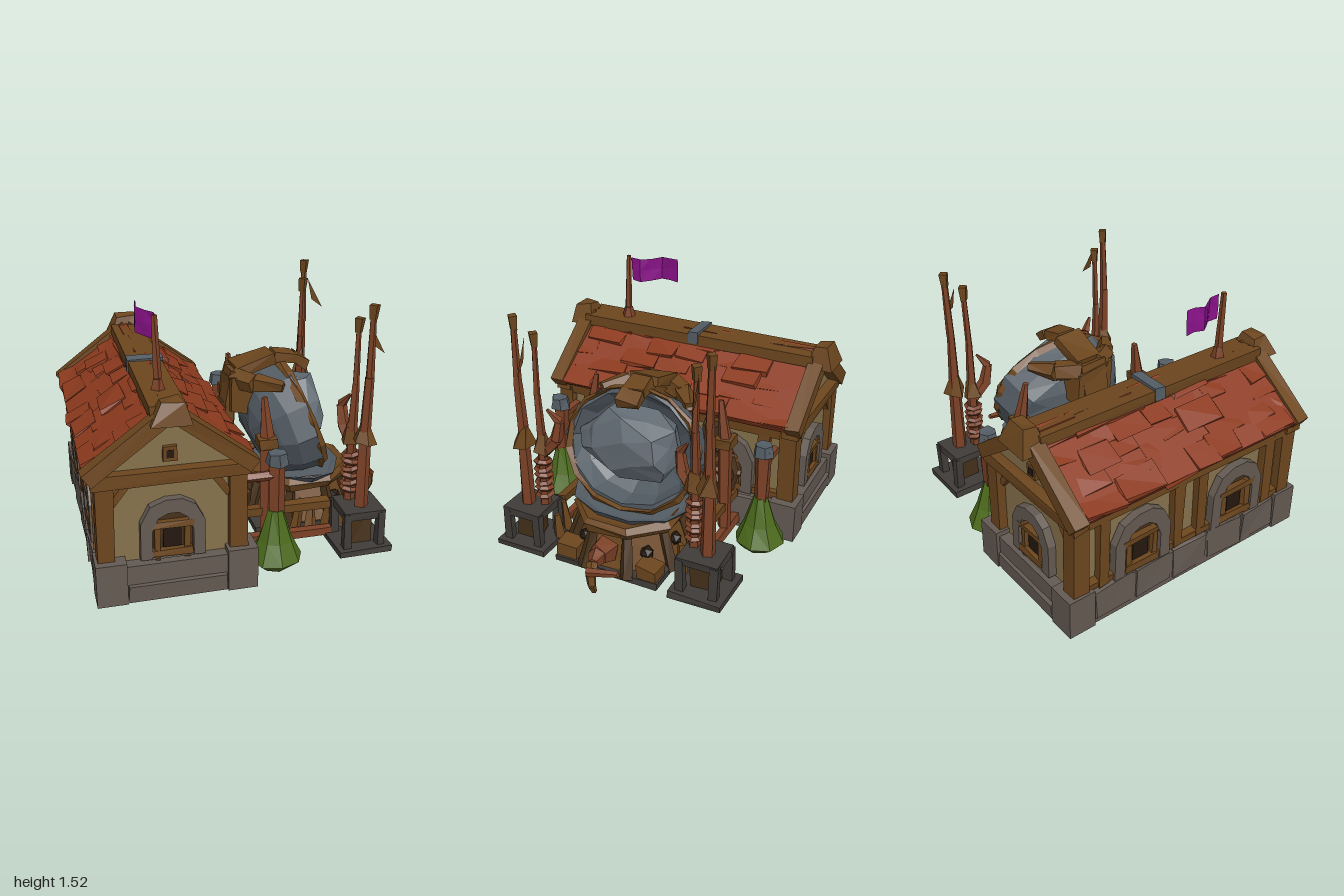
import * as THREE from 'three';

const C = { stone: 0x645a52, wall: 0x86724c, wood: 0x6c461e, dark: 0x46311a, red: 0x7c4126, tile: 0x8c3a1e,
  metal: 0x545d65, rock: 0x646d75, iron: 0x403c39, green: 0x4c6a1c, cloth: 0x8a128a, black: 0x24180f };
const mats = {};
const mat = (c) => (mats[c] ??= new THREE.MeshStandardMaterial({ color: c, flatShading: true, side: THREE.DoubleSide }));
let seed = 7;
const rnd = () => { seed = (seed * 16807) % 2147483647; return seed / 2147483647 - 0.5; };
const V = (x, y, z) => new THREE.Vector3(x, y, z);
const poly = (pts) => new THREE.Shape(pts.map((p) => new THREE.Vector2(...p)));
const lathe = (pts, n) => new THREE.LatheGeometry(pts.map((p) => new THREE.Vector2(...p)), n);

function place(parent, name, object, x, y, z) {
  object.name = name;
  object.position.set(x, y, z);
  parent.add(object);
  return object;
}
const group = (parent, name, x = 0, y = 0, z = 0) => place(parent, name, new THREE.Group(), x, y, z);
const add = (parent, name, geo, color, x = 0, y = 0, z = 0) => place(parent, name, new THREE.Mesh(geo, mat(color)), x, y, z);

// Shift vertices a little; vertices at the same place move together
function rough(geo, amount) {
  const p = geo.attributes.position, moved = {};
  for (let i = 0; i < p.count; i++) {
    const v = V().fromBufferAttribute(p, i);
    const d = (moved[v.toArray().map((n) => Math.round(n * 1e4))] ??= V(rnd(), rnd(), rnd()).multiplyScalar(amount));
    p.setXYZ(i, ...v.add(d));
  }
  geo.computeVertexNormals();
  return geo;
}
const box = (g, name, c, w, h, d, x, y, z, r = 0.012) => add(g, name, rough(new THREE.BoxGeometry(w, h, d), r), c, x, y, z);
// Tapered bar between two points
function bar(g, name, c, a, b, r0, r1 = r0, sides = 5) {
  const m = add(g, name, rough(new THREE.CylinderGeometry(r1, r0, a.distanceTo(b), sides), r0 * 0.2), c);
  m.position.copy(a).add(b).multiplyScalar(0.5);
  m.quaternion.setFromUnitVectors(V(0, 1, 0), b.clone().sub(a).normalize());
}
// Bars along a path, with one radius per point
const chain = (g, name, c, pts, radii) =>
  pts.slice(1).forEach((q, i) => bar(g, name, c, V(...pts[i]), V(...q), radii[i], radii[i + 1]));
// Flat board in the xy plane between two points
function board(g, name, c, x0, y0, x1, y1, thick, depth, z, r = 0.012) {
  const m = box(g, name, c, Math.hypot(x1 - x0, y1 - y0), thick, depth, (x0 + x1) / 2, (y0 + y1) / 2, z, r);
  m.rotation.z = Math.atan2(y1 - y0, x1 - x0);
}
const archShape = (w, h) => poly([[-w, 0], [-w * 0.97, h * 0.62], [-w * 0.68, h * 0.9], [-w * 0.2, h],
  [w * 0.3, h], [w * 0.72, h * 0.88], [w, h * 0.6], [w, 0]]);

// Arched window facing +z, sill at y = 0
function archWindow(parent, x, z, turn, size) {
  const g = group(parent, 'archWindow', x, 0.235, z);
  g.rotation.y = turn;
  g.scale.set(size, size, 1);
  const s = archShape(0.18, 0.35);
  s.holes.push(archShape(0.115, 0.27));
  add(g, 'windowArch', new THREE.ExtrudeGeometry(s, { depth: 0.05, bevelEnabled: false }), C.stone);
  add(g, 'windowPane', new THREE.ShapeGeometry(archShape(0.12, 0.28)), C.dark, 0, 0, 0.012);
  box(g, 'windowGlass', C.black, 0.1, 0.13, 0.012, 0, 0.12, 0.02, 0);
  for (const i of [-1, 1]) box(g, 'windowJamb', C.wood, 0.035, 0.23, 0.04, i * 0.085, 0.1, 0.02);
  box(g, 'windowLintel', C.wood, 0.24, 0.035, 0.05, 0, 0.2, 0.025);
  box(g, 'windowSill', C.wood, 0.22, 0.04, 0.05, 0, 0.03, 0.025);
}

function house(root) {
  const g = group(root, 'house', -0.53);
  box(g, 'stoneBase', C.stone, 0.87, 0.22, 1.7, 0.02, 0.11, 0, 0);
  const walls = poly([[-0.36, 0.2], [0.37, 0.2], [0.37, 0.76], [0, 1.07], [-0.36, 0.76]]);
  add(g, 'walls', new THREE.ExtrudeGeometry(walls, { depth: 1.56, bevelEnabled: false }), C.wall, 0, 0, -0.78);
  for (const t of [-1, 1]) {
    for (const s of [-1, 1]) {
      box(g, 'cornerStone', C.stone, 0.17, 0.25, 0.17, 0.02 + s * 0.365, 0.125, t * 0.785, 0);
      box(g, 'cornerPost', C.wood, 0.1, 0.48, 0.1, s * 0.365, 0.47, t * 0.78);
      board(g, 'gableTrim', C.wood, s * 0.45, 0.745, 0, 1.085, 0.085, 0.09, t * 0.815);
      board(g, 'wallBrace', C.wood, s * 0.32, 0.57, s * 0.24, 0.69, 0.04, 0.04, t * 0.785);
    }
    box(g, 'footStone', C.stone, 0.55, 0.1, 0.04, 0.02, 0.06, t * 0.85);
    for (let i = 0; i < 5; i++) box(g, 'sideStone', C.stone, 0.04, 0.2, 0.26, 0.02 + t * 0.425, 0.13, -0.56 + i * 0.28, 0.02);
    box(g, 'gableBeam', C.wood, 0.86, 0.075, 0.1, 0, 0.725, t * 0.79);
    box(g, 'gableVentFrame', C.wood, 0.075, 0.085, 0.04, 0, 0.84, t * 0.785, 0.005);
    box(g, 'gableVent', C.black, 0.04, 0.045, 0.02, 0, 0.84, t * 0.798, 0);
    archWindow(g, 0, t * 0.78, t > 0 ? 0 : Math.PI, 1);
    // Long sides: beams, posts and windows
    box(g, 'eaveBeam', C.wood, 0.07, 0.07, 1.54, t * 0.38, 0.7, 0);
    box(g, 'sillBeam', C.wood, 0.06, 0.05, 1.5, t * 0.375, 0.26, 0);
    for (const z of [-0.62, -0.09, 0.09, 0.62]) box(g, 'wallPost', C.wood, 0.07, 0.46, 0.07, t * 0.375, 0.47, z);
    for (const z of [-0.36, 0.36]) archWindow(g, t * 0.37, z, t * Math.PI / 2, 1.1);
    // Roof slope with uneven rows of overlapping tiles
    board(g, 'roofBoard', C.tile, t * 0.45, 0.755, 0, 1.06, 0.05, 1.56, 0, 0);
    for (let row = 0; row < 5; row++) {
      for (let z = -0.775, w; z < 0.74; z += w) {
        w = Math.min(0.15 + (rnd() + 0.5) * 0.12, 0.775 - z);
        const x = 0.455 - row * 0.09 + rnd() * 0.035, y = 0.775 + row * 0.061 + rnd() * 0.02;
        board(g, 'roofTile', C.tile, t * x, y, t * (x - 0.13), y + 0.068, 0.03, w, z + w / 2, 0.028);
      }
    }
    const cap = new THREE.CylinderGeometry(0.09, 0.155, 0.13, 4).rotateY(Math.PI / 4);
    add(g, 'ridgeCap', rough(cap, 0.025), C.wood, 0, 1.095, t * 0.835).scale.z = 0.75;
  }
  box(g, 'ridgeBeam', C.wood, 0.2, 0.07, 1.6, 0, 1.07, 0, 0.015);
  box(g, 'ridgeBand', C.metal, 0.22, 0.08, 0.07, 0, 1.08, 0, 0.01);
  // Flag on the ridge
  chain(g, 'flagPole', C.red, [[-0.01, 1.08, 0.53], [-0.01, 1.17, 0.53], [-0.02, 1.52, 0.53]], [0.05, 0.024, 0.016]);
  const flag = new THREE.PlaneGeometry(0.3, 0.15, 5, 2), p = flag.attributes.position;
  for (let i = 0; i < p.count; i++) {
    const u = p.getX(i) / 0.3 + 0.5;
    p.setXYZ(i, -0.01 - 0.09 * u + 0.025 * Math.sin(u * 8), 1.442 + p.getY(i) - 0.008 * Math.sin(u * 6), 0.5 - u * 0.3);
  }
  add(g, 'flag', rough(flag, 0.01), C.cloth);
}

function bowl(root) {
  // Eight sided wooden stand with a metal pan on top
  const s = group(root, 'bowlStand', 0.43);
  box(s, 'standFloor', C.iron, 0.7, 0.04, 0.68, 0, 0.045, 0);
  const drum = lathe([[0, 0.06], [0.35, 0.06], [0.27, 0.26], [0.33, 0.28], [0.36, 0.33], [0.33, 0.36], [0.27, 0.34], [0, 0.32]], 8);
  add(s, 'standDrum', rough(drum.rotateY(Math.PI / 8), 0.015), C.wood);
  const pan = lathe([[0, 0.34], [0.9, 0.34], [1, 0.38], [0.85, 0.36], [0, 0.355]], 10);
  add(s, 'standPan', rough(pan, 0.01), C.metal).scale.set(0.26, 1, 0.38);
  for (let i = 0; i < 8; i++) {
    const a = (i + 0.5) * Math.PI / 4, c = Math.cos(a), d = Math.sin(a), e = i * Math.PI / 4;
    bar(s, 'standRib', C.dark, V(c * 0.37, 0.04, d * 0.37), V(c * 0.29, 0.29, d * 0.29), 0.045, 0.03, 4);
    add(s, 'standVent', new THREE.IcosahedronGeometry(0.045, 0), C.black, Math.cos(e) * 0.29, 0.16, Math.sin(e) * 0.29);
  }
  // Tilted metal bowl holding a boulder
  const b = group(root, 'bowl', 0.43, 0.7);
  b.rotation.z = -1.22;
  const shell = [];
  for (let i = 0; i <= 5; i++) shell.push([Math.sin(i * Math.PI / 10) ** 0.8, -0.35 * Math.max(0, Math.cos(i * Math.PI / 10)) ** 0.8]);
  shell.push([0.9, 0], [0.78, -0.1], [0.4, -0.22], [0, -0.25]);
  add(b, 'bowlShell', rough(lathe(shell, 12), 0.03), C.metal).scale.set(0.37, 1, 0.45);
  const rim = new THREE.TorusGeometry(1, 0.05, 4, 14).rotateX(Math.PI / 2);
  add(b, 'bowlRim', rough(rim, 0.03), C.wood, 0, -0.01, 0).scale.set(0.37, 0.6, 0.43);
  add(b, 'boulder', rough(new THREE.IcosahedronGeometry(1, 1), 0.36), C.rock, -0.05, -0.02, 0).scale.set(0.21, 0.18, 0.32);
  // Yoke from the house over the top of the bowl
  const y = group(root, 'yoke');
  const path = [[-0.04, 0.45], [-0.02, 0.8], [0.02, 1.0], [0.25, 1.07], [0.4, 1.05], [0.47, 1.0]];
  path.slice(1).forEach(([x, v], i) => board(y, 'yokeStrap', C.wood, ...path[i], x, v, 0.06, i < 3 ? 0.18 : 0.13, 0, 0.025));
  box(y, 'yokeBlock', C.wood, 0.14, 0.22, 0.26, 0.03, 0.86, 0, 0.04);
  for (const t of [-1, 1]) {
    chain(y, 'yokeArm', C.wood, [[0.02, 0.96, t * 0.06], [0.11, 0.96, t * 0.19], [0.25, 0.96, t * 0.29]], [0.07, 0.065, 0.03]);
    chain(y, 'sideStay', C.red, [[0.1, 0.1, t * 0.47], [0.1, 0.7, t * 0.46], [0.09, 0.96, t * 0.42]], [0.04, 0.045, 0.018]);
    box(y, 'stayCollar', C.wood, 0.11, 0.06, 0.1, 0.1, 0.7, t * 0.46);
    box(y, 'groundBeam', C.red, 0.62, 0.05, 0.05, 0.22, 0.08, t * 0.48);
    box(y, 'upperBeam', C.wood, 0.56, 0.05, 0.05, 0.22, 0.26, t * 0.46);
    box(y, 'standFoot', C.wood, 0.12, 0.11, 0.13, 0.71, 0.09, t * 0.27, 0.02);
    for (let i = 0; i < 4; i++) bar(y, 'looseTimber', C.wood, V(0.3 + i * 0.1, 0.06, t * 0.42), V(0.34 + i * 0.09, 0.22 + rnd() * 0.1, t * (0.4 + rnd() * 0.12)), 0.04, 0.02, 4);
    // Spoked wheel and its bearing beside the house
    box(y, 'wheelBearing', C.dark, 0.08, 0.5, 0.1, -0.07, 0.45, t * 0.3, 0.03);
    const w = group(root, 'driveWheel', 0, 0.42, t * 0.3);
    w.rotation.y = Math.PI / 2 - t * 0.15;
    add(w, 'wheelRing', rough(new THREE.TorusGeometry(0.18, 0.035, 4, 10), 0.015), C.dark);
    for (let i = 0; i < 4; i++) {
      const q = V(0.22, 0, 0).applyAxisAngle(V(0, 0, 1), i * Math.PI / 4);
      bar(w, 'wheelSpoke', C.wood, q.clone().negate(), q, 0.022, 0.022, 4);
    }
  }
  // Spout with a hooked handle
  const f = group(root, 'spout');
  chain(f, 'spoutPipe', C.red, [[0.74, 0.18, 0.01], [0.84, 0.2, 0.01], [0.91, 0.2, 0]], [0.09, 0.06, 0.03]);
  chain(f, 'spoutHook', C.wood, [[0.91, 0.2, 0], [0.965, 0.16, -0.02], [0.975, 0.1, -0.03], [0.95, 0.04, -0.03]], [0.035, 0.03, 0.025, 0.018]);
  bar(f, 'spoutHandle', C.red, V(0.97, 0.18, 0), V(0.95, 0.21, -0.19), 0.028, 0.018);
}

function sideGear(root, t) {
  // Conical flask with a stopper
  const f = group(root, 'flask', 0.09, 0, t * 0.7);
  add(f, 'flaskGlass', rough(lathe([[0, 0.03], [0.1, 0.03], [0.155, 0.08], [0.1, 0.2], [0.045, 0.38], [0, 0.38]], 8), 0.01), C.green);
  chain(f, 'flaskNeck', C.red, [[0, 0.36, 0], [0, 0.7, 0]], [0.045, 0.05]);
  add(f, 'flaskStopper', rough(new THREE.CylinderGeometry(0.055, 0.065, 0.07, 6), 0.01), C.metal, 0, 0.7, 0);
  bar(f, 'flaskBracket', C.red, V(-0.2, 0.6, 0), V(0, 0.6, 0), 0.03);
  // Square cage
  const g = group(root, 'cagePost', 0.64, 0, t * 0.58);
  box(g, 'cageFloor', C.iron, 0.33, 0.04, 0.33, 0, 0.05, 0);
  box(g, 'cageTop', C.iron, 0.25, 0.05, 0.25, 0, 0.27, 0);
  box(g, 'cageCore', C.dark, 0.13, 0.2, 0.13, 0, 0.17, 0, 0.03);
  for (const i of [-1, 1]) for (const k of [-1, 1]) box(g, 'cageCorner', C.iron, 0.05, 0.24, 0.05, i * 0.105, 0.16, k * 0.105);
  // Tall pole, and a shorter pole wound with rope
  for (const [x, k, neck, top, r] of [[0.01, 0.02, 0.74, 1.45, 0.026], [-0.03, -0.08, 0.7, 1.35, 0.021]]) {
    chain(g, 'pole', C.red, [[x, 0.28, t * k], [x, neck, t * k], [x + 0.005, (neck + top) / 2, t * k + 0.008], [x + 0.01, top, t * k]], [r * 1.8, r * 1.4, r, r * 0.75]);
    add(g, 'poleCollar', rough(new THREE.CylinderGeometry(0.03, 0.065, 0.12, 5), 0.03), C.wood, x, neck + 0.02, t * k);
    bar(g, 'poleTip', C.wood, V(x + 0.01, top - 0.02, t * k), V(x + 0.015, top + 0.065, t * k), 0.024, 0.032, 4);
  }
  for (let i = 0; i < 6; i++)
    add(g, 'ropeCoil', new THREE.TorusGeometry(0.043, 0.018, 4, 7), C.red, -0.03, 0.36 + i * 0.045, t * -0.08).rotation.set(Math.PI / 2, 0.15 * (i % 2 ? 1 : -1), 0);
  // Curved horn and torn pennant
  chain(g, 'horn', C.red, [[-0.03, 0.64, t * -0.09], [-0.05, 0.74, t * -0.17], [-0.06, 0.86, t * -0.19], [-0.03, 0.94, t * -0.13]], [0.035, 0.04, 0.03, 0.008]);
  add(g, 'pennant', new THREE.ShapeGeometry(poly([[0.03, 1.4], [0.06, 1.26], [0.14, 1.2]])), C.wood, 0, 0, t * -0.05).rotation.y = 0.1;
}

export function createModel() {
  seed = 7;
  const root = new THREE.Group();
  root.name = 'workshop';
  house(root);
  bowl(root);
  for (const t of [-1, 1]) sideGear(root, t);
  return root;
}
